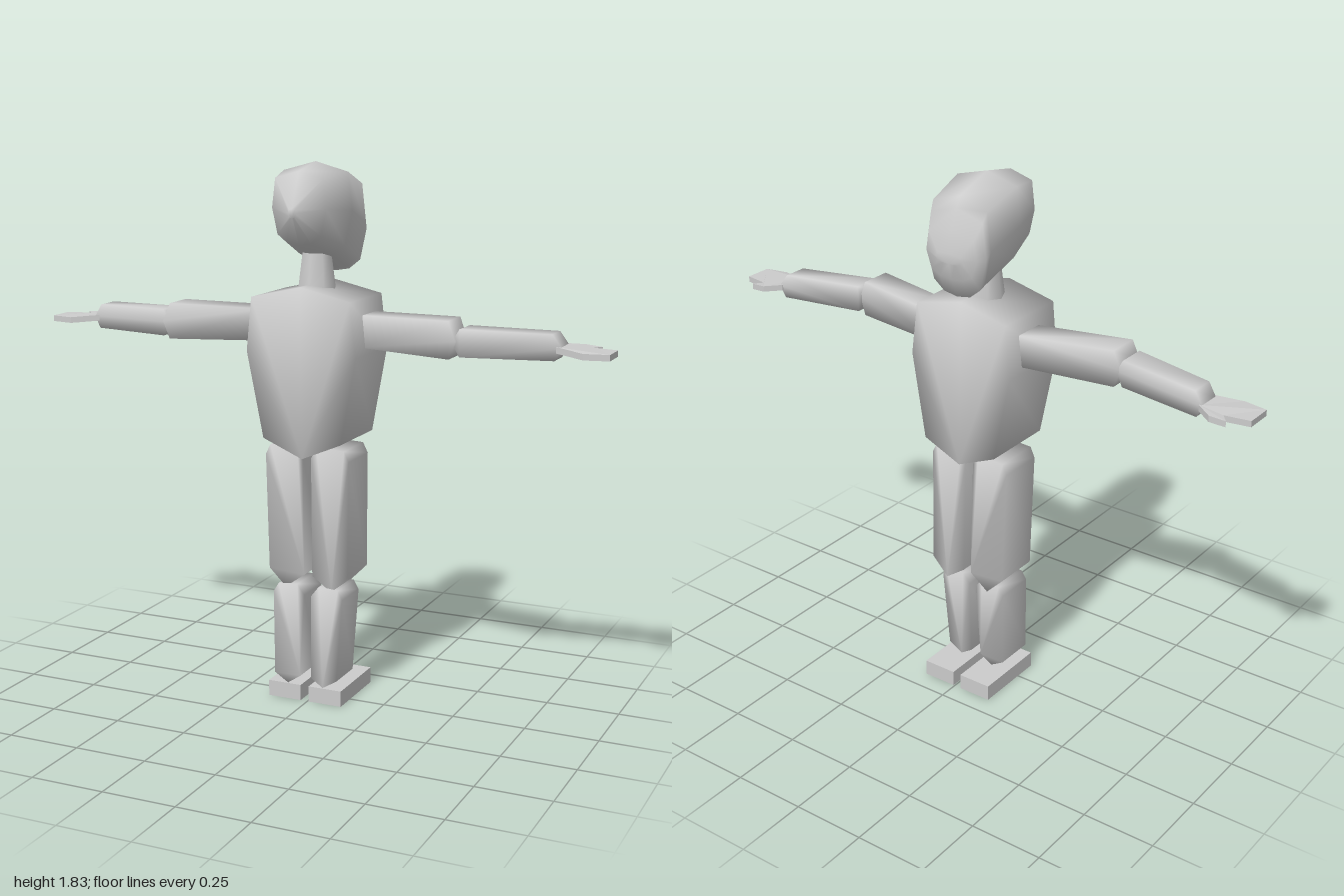
import * as THREE from 'three';

const material = new THREE.MeshStandardMaterial({ color: 0xcccccc });
const AXIS = -0.01; // the legs mirror about a line just off centre

// Closed smooth skin over rings of [x, y, z], each counter-clockwise seen from +z, from front (+z) to back
function loft(rings) {
  const n = rings[0].length, last = (rings.length - 1) * n, index = [];
  for (let r = 0; r < last; r += n) {
    for (let j = 0; j < n; j++) {
      const a = r + j, b = r + (j + 1) % n;
      index.push(a, a + n, b, b, a + n, b + n);
    }
  }
  for (let j = 1; j < n - 1; j++) {
    index.push(0, j, j + 1, last, last + j + 1, last + j);
  }
  const g = new THREE.BufferGeometry();
  g.setAttribute('position', new THREE.Float32BufferAttribute(rings.flat(2), 3));
  g.setIndex(index);
  g.computeVertexNormals();
  return g;
}

// Outline in x, y carried through the depth given by zFront and zBack
function prism(outline, zFront, zBack) {
  return loft([zFront, zBack].map(f => outline.map(([x, y]) => [x, y, f(x, y)])));
}

const mirror = (points, axis) => points.map(([x, y]) => [2 * axis - x, y]).reverse();
// Straight line through (a, u) and (b, v)
const line = (a, u, b, v) => t => u + (v - u) * (t - a) / (b - a);

export function createModel() {
  const model = new THREE.Group();
  const add = (name, geometry) => {
    const mesh = new THREE.Mesh(geometry, material);
    mesh.name = name;
    model.add(mesh);
    return mesh;
  };

  // Torso, leaning slightly with height
  const torso = [[0, 0.86], [0.14, 0.92], [0.195, 1.21], [0.175, 1.39],
    [0, 1.43], [-0.175, 1.39], [-0.195, 1.21], [-0.14, 0.92]];
  const chest = line(0.86, 0.12, 1.43, 0.135), belly = line(0.86, -0.145, 1.43, -0.13);
  add('torso', prism(torso, (x, y) => chest(y), (x, y) => belly(y)));

  // Neck
  const neck = add('neck', new THREE.CylinderGeometry(0.048, 0.066, 0.14, 8));
  neck.position.set(0, 1.48, 0);

  // Head: slices from back of skull to face, as [z, half width, bottom, top]
  const slices = [[0.19, 0.012, 1.655, 1.685], [0.138, 0.095, 1.565, 1.8], [0.01, 0.13, 1.515, 1.825],
    [-0.13, 0.118, 1.463, 1.78], [-0.148, 0.113, 1.455, 1.745],
    [-0.176, 0.098, 1.52, 1.68], [-0.19, 0.05, 1.575, 1.61]];
  const half = [[0.45, 0.03], [0.8, 0.14], [1, 0.5], [0.88, 0.9]]; // right half of a slice
  const section = [[0, 0], ...half, [0, 1], ...mirror(half, 0)];
  add('head', loft(slices.map(([z, w, lo, hi]) =>
    section.map(([u, v]) => [u * w, lo + v * (hi - lo), z]))));

  // Limb outlines for the model's left side
  const thigh = [[0.075, 0.39], [0.135, 0.45], [0.142, 0.85], [0.125, 0.885], [0.025, 0.89], [0.005, 0.85], [0.005, 0.44]];
  const shin = [[0.055, 0.055], [0.105, 0.085], [0.118, 0.37], [0.1, 0.4], [0.03, 0.405], [0.003, 0.37], [0.01, 0.085]];
  const upperArm = [[0.17, 1.232], [0.5, 1.226], [0.522, 1.285], [0.497, 1.347], [0.17, 1.338]];
  const forearm = [[0.53, 1.233], [0.82, 1.232], [0.842, 1.272], [0.812, 1.315], [0.53, 1.322], [0.507, 1.28]];
  // Palm and thumb in x, z
  const palm = [[0.82, 0.025], [0.92, 0.06], [1, 0.045], [1, -0.05], [0.915, -0.065],
    [0.94, -0.095], [0.885, -0.1], [0.83, -0.062]];

  const thighFront = line(0.39, 0.048, 0.89, 0.06), thighBack = line(0.39, -0.118, 0.89, -0.1);
  const shinFront = line(0.055, 0.075, 0.4, 0.052), shinBack = line(0.055, -0.065, 0.4, -0.087);
  const upperFront = line(0.19, 0.045, 0.51, 0.105), upperBack = line(0.19, -0.065, 0.53, -0.003);
  const foreFront = line(0.53, 0.09, 0.83, 0.025), foreBack = line(0.53, -0.008, 0.84, -0.06);

  for (const side of ['left', 'right']) {
    const left = side === 'left';
    const outline = (points, axis) => left ? points : mirror(points, axis);

    // Legs
    add(side + 'Thigh', prism(outline(thigh, AXIS), (x, y) => thighFront(y), (x, y) => thighBack(y)));
    add(side + 'Shin', prism(outline(shin, AXIS), (x, y) => shinFront(y), (x, y) => shinBack(y)));
    const foot = add(side + 'Foot', new THREE.BoxGeometry(0.12, 0.055, 0.26));
    foot.position.set(AXIS + (left ? 0.075 : -0.075), 0.0275, -0.05);

    // Arms, bent at the elbow
    add(side + 'UpperArm', prism(outline(upperArm, 0),
      x => upperFront(Math.abs(x)), x => upperBack(Math.abs(x))));
    add(side + 'Forearm', prism(outline(forearm, 0),
      x => foreFront(Math.abs(x)), x => foreBack(Math.abs(x))));

    // Hand: thin plate laid flat, dipping a little towards the fingers
    const shape = new THREE.Shape(outline(palm, 0).map(([x, z]) => new THREE.Vector2(x, -z)));
    const hand = new THREE.ExtrudeGeometry(shape, { depth: 0.02, bevelEnabled: false });
    hand.rotateX(-Math.PI / 2);
    const p = hand.attributes.position;
    for (let i = 0; i < p.count; i++) {
      const dip = THREE.MathUtils.clamp((Math.abs(p.getX(i)) - 0.84) / 0.08, 0, 1);
      p.setY(i, p.getY(i) + 1.257 - 0.01 * dip);
    }
    hand.computeVertexNormals();
    add(side + 'Hand', hand);
  }
  return model;
}
